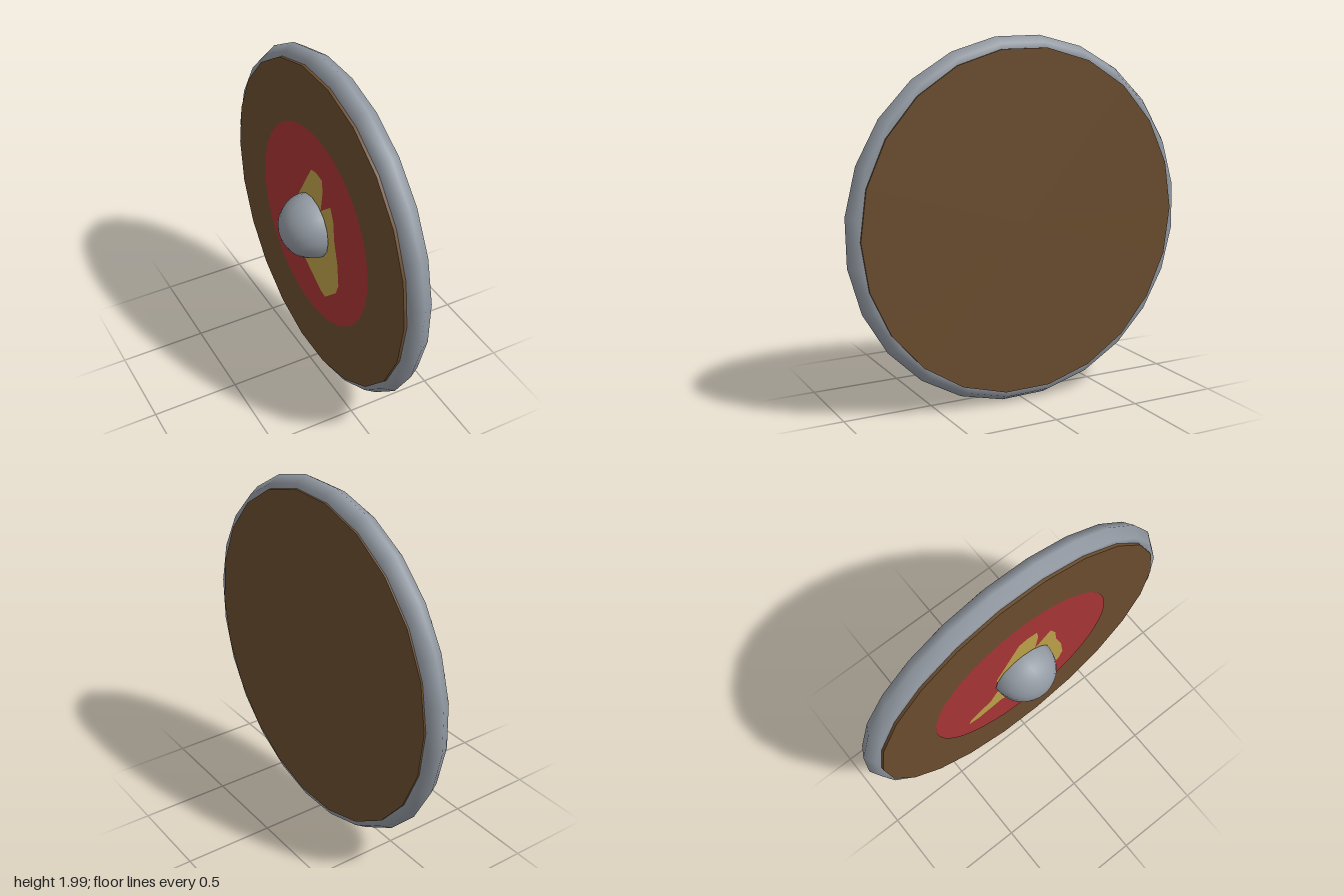
import * as THREE from 'three';

const CENTER_Y = 1;

function material(name, color, extra = {}) {
  return new THREE.MeshStandardMaterial({ name, color, ...extra });
}

export function createModel() {
  const wood = material('brown wood', 0x6b4d2f);
  const steel = material('grey steel', 0x939aa3);
  const red = material('red paint', 0xa93535);
  const gold = material('gold paint', 0xbfa24a);

  const shield = new THREE.Group();
  shield.name = 'roundShield';

  function add(name, geometry, mat, x) {
    const mesh = new THREE.Mesh(geometry, mat);
    mesh.name = name;
    mesh.position.set(x, CENTER_Y, 0);
    shield.add(mesh);
    return mesh;
  }

  // Wooden board, axis along x
  const board = new THREE.CylinderGeometry(0.94, 0.94, 0.148, 22);
  board.rotateZ(Math.PI / 2).rotateX(0.01);
  add('board', board, wood, 0.095);

  // Metal rim with a six-sided section
  const rim = new THREE.TorusGeometry(0.933, 0.07, 6, 24);
  rim.rotateZ(THREE.MathUtils.degToRad(8.6)).rotateY(Math.PI / 2);
  add('rim', rim, steel, 0.098);

  // Painted field on the outer face
  const field = new THREE.CircleGeometry(0.59, 64).rotateY(-Math.PI / 2);
  add('paintedField', field, red, 0.0185);

  // Painted emblem, outlined as (z, height from centre)
  const outline = [
    [0.03, 0.37], [0.1, 0.36], [0.11, 0.29], [0.09, 0.155], [0.195, 0.245],
    [0.23, 0.165], [0.24, 0.06], [0.28, -0.08], [0.296, -0.22], [0.27, -0.29],
    [0.148, -0.41], [0.1, -0.4], [-0.148, -0.264], [-0.315, -0.293],
    [-0.385, -0.28], [-0.37, -0.24], [-0.222, -0.162], [-0.157, -0.06],
    [-0.176, 0.09], [-0.083, 0.25], [-0.02, 0.357],
  ].map(([z, y]) => new THREE.Vector2(z, y));
  const emblem = new THREE.ShapeGeometry(new THREE.Shape(outline)).rotateY(-Math.PI / 2);
  add('paintedEmblem', emblem, gold, 0.017);

  // Domed boss facing -x
  const boss = new THREE.SphereGeometry(0.187, 16, 12, 0, Math.PI * 2, 0, Math.PI / 2);
  boss.rotateZ(Math.PI / 2);
  add('boss', boss, steel, 0.012).position.y = 1.004;

  return shield;
}
